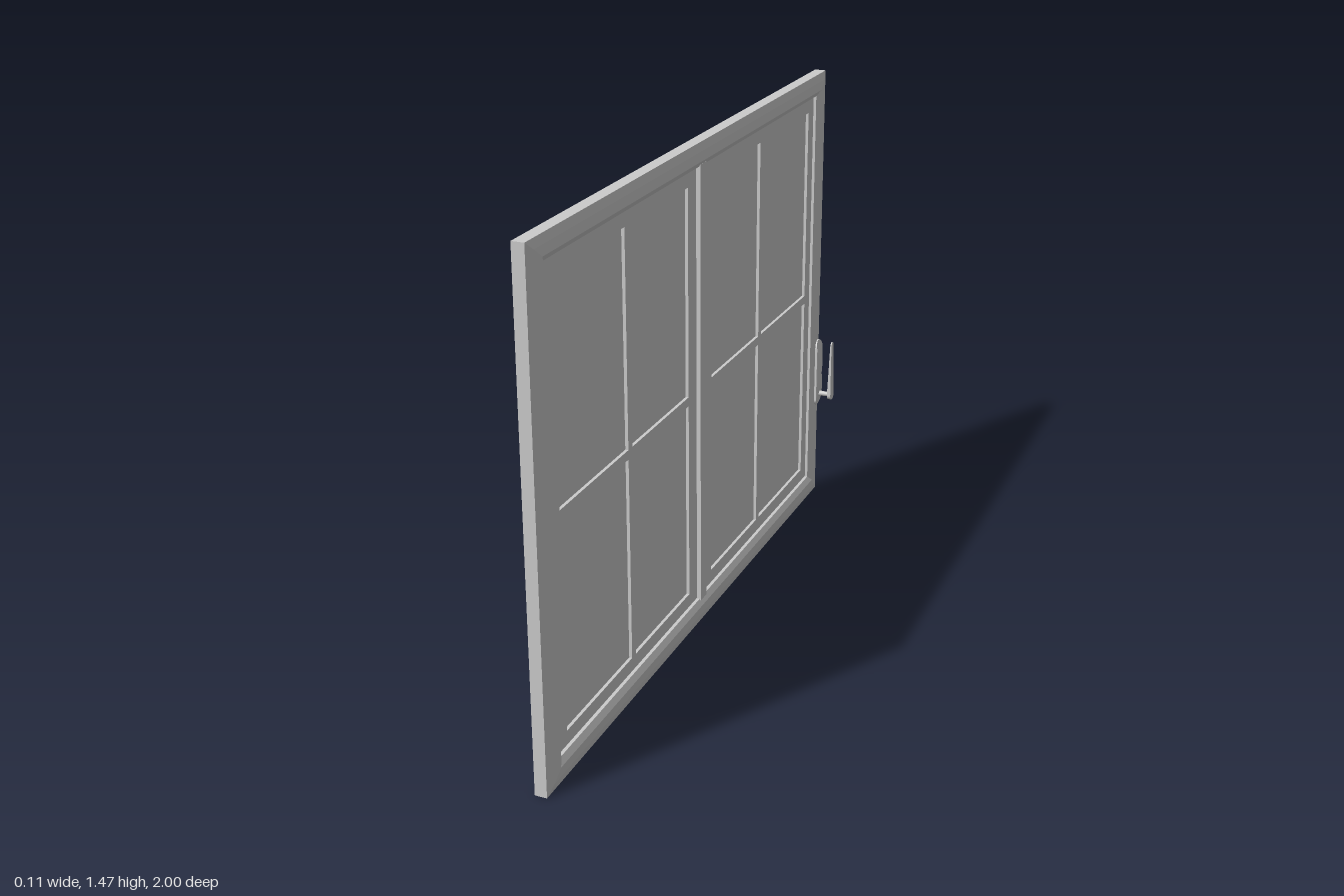
import * as THREE from 'three';

const W = 1, H = 1.465; // half width along z, full height

export function createModel() {
  const group = new THREE.Group();
  const mat = new THREE.MeshStandardMaterial({ color: 0xcccccc });
  const add = (name, geo, parent = group) => {
    const mesh = new THREE.Mesh(geo, mat);
    mesh.name = name;
    parent.add(mesh);
    return mesh;
  };
  const rect = (Type, u0, u1, y0, y1) => {
    const s = new Type();
    s.moveTo(u0, y0).lineTo(u1, y0).lineTo(u1, y1).lineTo(u0, y1).closePath();
    return s;
  };
  // Extrudes a shape drawn in (-z, y) along x, from x0 to x1
  const slab = (shape, x0, x1) =>
    new THREE.ExtrudeGeometry(shape, { depth: x1 - x0, bevelEnabled: false, curveSegments: 16 })
      .translate(0, 0, x0).rotateY(Math.PI / 2);

  // Mitred outer frame: profile of [inset 0..1, x] swept round the four corners
  const profile = [[0, -0.01], [0.35, -0.003], [0.75, 0], [1, -0.01],
    [1, -0.045], [0.75, -0.055], [0.35, -0.052], [0, -0.045]];
  const corners = [[-1, 0], [1, 0], [1, 1], [-1, 1]];
  const point = (c, p) => {
    const [side, top] = corners[c % 4], [t, x] = profile[p % profile.length];
    return [x, top ? H - 0.066 * t : 0.075 * t, -side * (W - 0.083 * t)];
  };
  const pos = [];
  for (let c = 0; c < 4; c++) {
    for (let p = 0; p < profile.length; p++) {
      const a = point(c, p), b = point(c + 1, p), d = point(c + 1, p + 1), e = point(c, p + 1);
      pos.push(...a, ...b, ...d, ...a, ...d, ...e);
    }
  }
  const frameGeo = new THREE.BufferGeometry();
  frameGeo.setAttribute('position', new THREE.Float32BufferAttribute(pos, 3));
  frameGeo.computeVertexNormals();
  add('outerFrame', frameGeo);

  // Centre post between the two sashes
  add('centrePost', slab(rect(THREE.Shape, -0.022, 0.022, 0.07, 1.405), -0.05, -0.006));

  // Two sashes, each with four openings and a pane of glass
  const columns = [[0.082, 0.453], [0.477, 0.868]];
  const rows = [[0.12, 0.72], [0.747, 1.355]];
  for (const s of [-1, 1]) {
    const span = (a, b) => (s > 0 ? [a, b] : [-b, -a]);
    const sash = new THREE.Group();
    sash.name = s > 0 ? 'rightSash' : 'leftSash';
    const outline = rect(THREE.Shape, ...span(0.026, 0.912), 0.079, 1.396);
    for (const [a, b] of columns)
      for (const [y0, y1] of rows) outline.holes.push(rect(THREE.Path, ...span(a, b), y0, y1));
    add('sashFrame', slab(outline, -0.043, -0.017), sash);
    add('glass', slab(rect(THREE.Shape, ...span(0.05, 0.89), 0.1, 1.38), -0.032, -0.026), sash);
    group.add(sash);
  }

  // Handle, built around its own z = 0 and moved onto the frame stile
  const handle = new THREE.Group();
  handle.name = 'handle';
  handle.position.z = -0.965;
  group.add(handle);

  // Stadium-shaped back plate with a bowed face
  const cy = 0.447, half = 0.117, r = 0.026, rings = 8, steps = 24;
  const plate = new THREE.CylinderGeometry(1, 1, 1, steps * 2, 1);
  plate.dispose();
  const bow = (y) => 0.002 + 0.014 * (1 - ((y - cy) / half) ** 2);
  const stadium = (k) => {
    const a = (k / 48) * Math.PI * 2;
    const off = Math.sin(a) >= 0 ? half - r : r - half;
    return [Math.cos(a) * r, cy + off + Math.sin(a) * r];
  };
  const tri = [];
  for (let k = 0; k < 48; k++) {
    // strips run across the plate so the face follows the bow
    const [u0, y0] = stadium(k), [u1, y1] = stadium(k + 1);
    for (let i = 0; i < rings; i++) {
      const at = (u, y, f) => {
        const yy = cy + (y - cy) * f;
        return [bow(yy), yy, -u * f];
      };
      const f0 = i / rings, f1 = (i + 1) / rings;
      const a = at(u0, y0, f0), b = at(u0, y0, f1), c = at(u1, y1, f1), d = at(u1, y1, f0);
      tri.push(...a, ...b, ...c, ...a, ...c, ...d);
    }
    const e0 = [bow(y0), y0, -u0], e1 = [bow(y1), y1, -u1];
    const w0 = [-0.006, y0, -u0], w1 = [-0.006, y1, -u1];
    tri.push(...e0, ...w0, ...w1, ...e0, ...w1, ...e1);
  }
  const plateGeo = new THREE.BufferGeometry();
  plateGeo.setAttribute('position', new THREE.Float32BufferAttribute(tri, 3));
  plateGeo.computeVertexNormals();
  add('backPlate', plateGeo, handle);

  // Spindle joining plate and lever
  add('spindle', new THREE.CylinderGeometry(0.007, 0.009, 0.044, 16)
    .rotateZ(-Math.PI / 2).translate(0.026, 0.372, 0), handle);

  // Lever: rounded blade, thick at the foot and thin at the tip
  const blade = new THREE.Shape();
  blade.absarc(0, 0.373, 0.017, Math.PI, Math.PI * 2);
  blade.absarc(0, 0.55, 0.011, 0, Math.PI);
  blade.closePath();
  const lever = slab(blade, 0, 1);
  const v = lever.attributes.position;
  for (let i = 0; i < v.count; i++) {
    const t = (v.getY(i) - 0.356) / 0.205;
    const back = 0.042 + 0.006 * t, front = 0.055 - 0.003 * t;
    v.setX(i, back + (front - back) * v.getX(i));
  }
  lever.computeVertexNormals();
  add('lever', lever, handle);

  return group;
}
